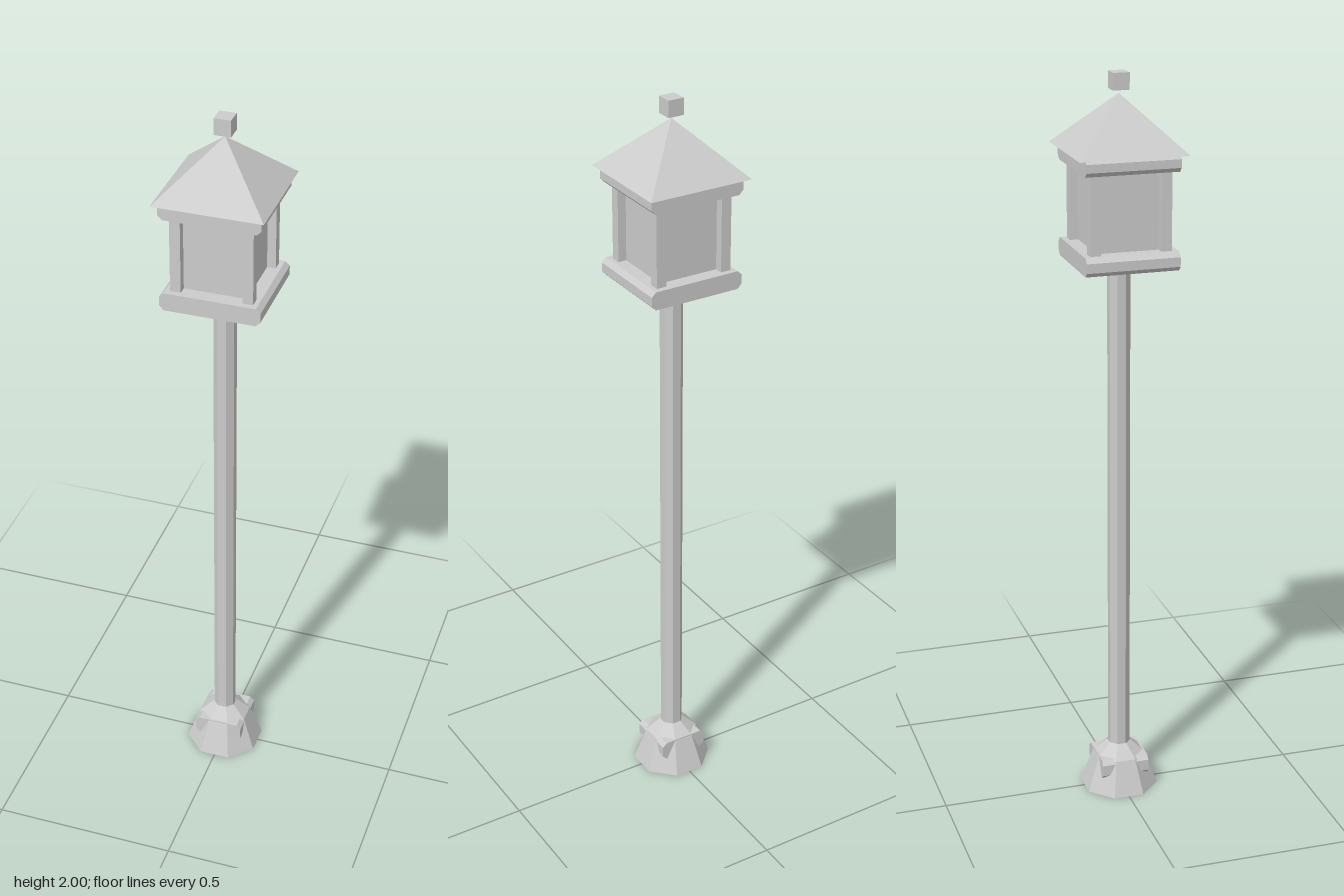
import * as THREE from 'three';

export function createModel() {
  const lamp = new THREE.Group();
  lamp.name = 'lampPost';
  const grey = new THREE.MeshStandardMaterial({ color: 0xcccccc });
  grey.name = 'light grey';
  grey.flatShading = true;
  grey.side = THREE.DoubleSide;

  const add = (name, geometry, x, y, z) => {
    const mesh = new THREE.Mesh(geometry, grey);
    mesh.name = name;
    mesh.position.set(x, y, z);
    lamp.add(mesh);
    return mesh;
  };

  // Slab whose long edges along z are chamfered
  const slab = (name, w, d, y0, y1, c) => {
    const h = y1 - y0, a = w / 2;
    const outline = [[-a + c, 0], [a - c, 0], [a, c], [a, h - c], [a - c, h], [-a + c, h], [-a, h - c], [-a, c]];
    const shape = new THREE.Shape(outline.map(([x, y]) => new THREE.Vector2(x, y)));
    add(name, new THREE.ExtrudeGeometry(shape, { depth: d, bevelEnabled: false }), 0, y0, -d / 2);
  };

  // Eight-sided section, sized by its distance to the flats
  const octagon = (name, rTop, rBottom, y0, y1, open) => {
    const k = 1 / Math.cos(Math.PI / 8);
    const g = new THREE.CylinderGeometry(rTop * k, rBottom * k, y1 - y0, 8, 1, open);
    g.rotateY(Math.PI / 8);
    add(name, g, 0, (y0 + y1) / 2, 0);
  };

  // Foot: hollow skirt, square block and sloping collar
  octagon('baseSkirt', 0.067, 0.1, 0, 0.095, true);
  slab('baseBlock', 0.136, 0.132, 0.045, 0.1, 0.012);
  octagon('baseCollar', 0.03, 0.067, 0.095, 0.13, true);

  // Pole
  octagon('pole', 0.028, 0.028, 0.1, 1.503, false);

  // Lantern floor and upper frame
  slab('lanternFloor', 0.264, 0.248, 1.508, 1.557, 0.012);
  slab('lanternTopFrame', 0.264, 0.248, 1.762, 1.808, 0.012);

  // Lantern panes and four corner posts
  add('lanternPanes', new THREE.BoxGeometry(0.17, 0.21, 0.17), 0, 1.66, 0);
  for (const x of [-1, 1])
    for (const z of [-1, 1])
      add('cornerPost', new THREE.BoxGeometry(0.028, 0.21, 0.028), x * 0.094, 1.66, z * 0.094);

  // Pyramid roof and small cube finial
  const roof = new THREE.ConeGeometry(0.144 * Math.SQRT2, 0.141, 4);
  roof.rotateY(Math.PI / 4);
  add('roof', roof, 0, 1.8755, 0);
  add('finial', new THREE.BoxGeometry(0.044, 0.044, 0.044), 0, 1.978, 0);

  return lamp;
}
